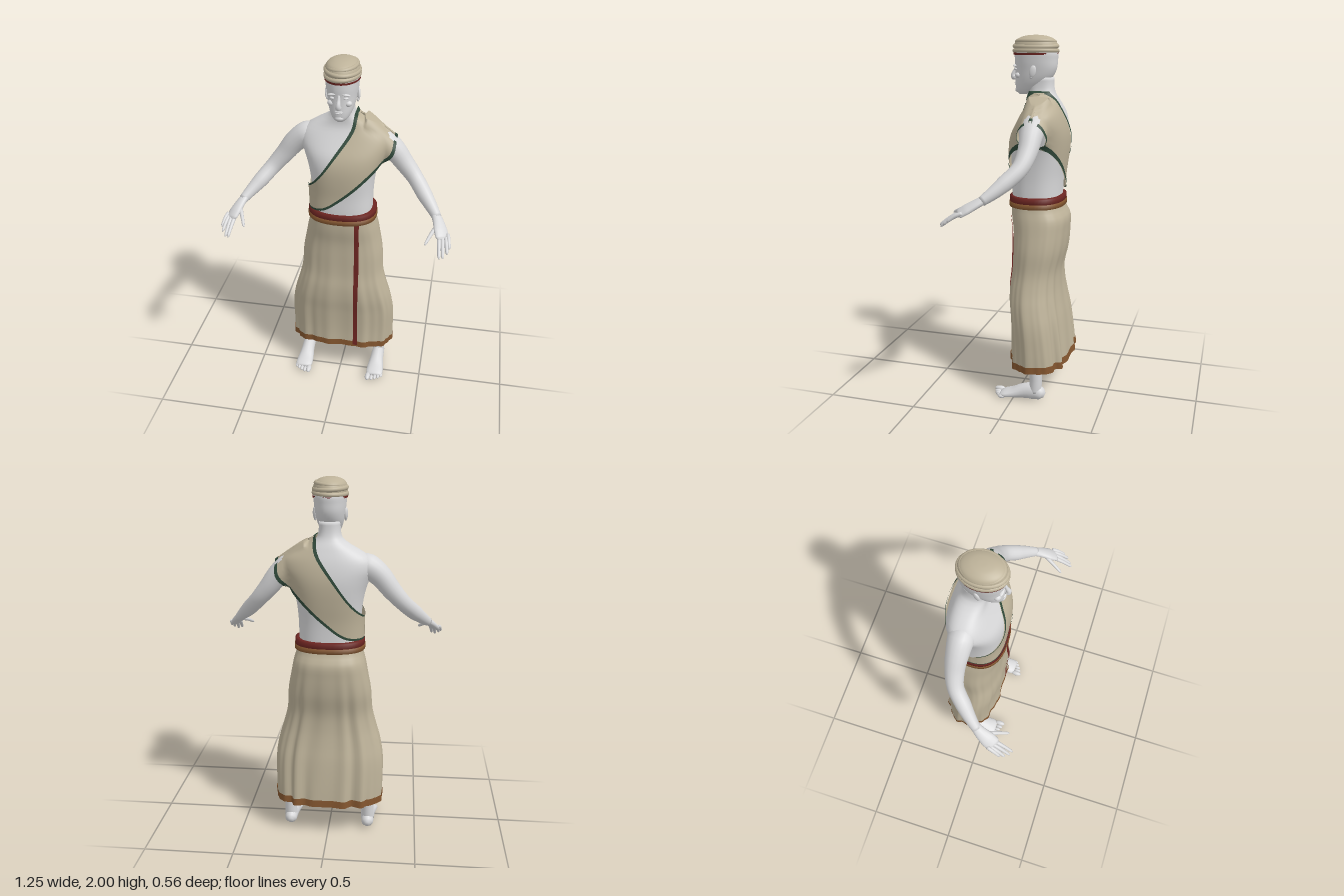
import * as THREE from 'three';

const mat = (name, color, side = THREE.FrontSide) => {
  const m = new THREE.MeshStandardMaterial({ color, side });
  m.name = name;
  return m;
};
const skin = mat('skin', 0xd8d8d9);
const cloth = mat('cloth', 0xbdb299, THREE.DoubleSide);
const green = mat('green trim', 0x30493a, THREE.DoubleSide);
const red = mat('dark red', 0x6e2622, THREE.DoubleSide);
const brown = mat('brown', 0x84562f, THREE.DoubleSide);

const V = (x, y, z) => new THREE.Vector3(x, y, z);
const TAU = Math.PI * 2;

function mesh(parent, name, geo, material) {
  const m = new THREE.Mesh(geo, material);
  m.name = name;
  parent.add(m);
  return m;
}

// Skin a list of point rows; closed rows wrap round, caps close the two ends
function loft(rows, closed = true, caps = true) {
  const n = rows[0].length, pos = [], idx = [];
  rows.forEach(r => r.forEach(p => pos.push(p.x, p.y, p.z)));
  for (let i = 0; i + 1 < rows.length; i++) {
    for (let j = 0; j < (closed ? n : n - 1); j++) {
      const k = (j + 1) % n, a = i * n + j, b = i * n + k, c = a + n, d = b + n;
      idx.push(a, c, b, b, c, d);
    }
  }
  if (closed && caps) {
    [0, rows.length - 1].forEach(i => {
      const mid = rows[i].reduce((s, p) => s.add(p), V(0, 0, 0)).divideScalar(n), m = pos.length / 3;
      pos.push(mid.x, mid.y, mid.z);
      for (let j = 0; j < n; j++) {
        const a = i * n + j, b = i * n + (j + 1) % n;
        i ? idx.push(a, m, b) : idx.push(a, b, m);
      }
    });
  }
  const g = new THREE.BufferGeometry();
  g.setAttribute('position', new THREE.Float32BufferAttribute(pos, 3));
  g.setIndex(idx);
  g.computeVertexNormals();
  return g;
}

// Smooth profile from rows of [y, half width, front z, back z]
function profile(rows) {
  const f = new THREE.CubicInterpolant(new Float32Array(rows.map(r => r[0])),
    new Float32Array(rows.flatMap(r => r.slice(1))), 3);
  return y => Array.from(f.evaluate(y));
}
function ovalPoint([rx, zf, zb], y, a, pw = 2.4, off = 0) {
  const q = t => Math.sign(t) * Math.abs(t) ** (2 / pw);
  return V((rx + off) * q(Math.cos(a)), y, (zf + zb) / 2 + ((zf - zb) / 2 + off) * q(Math.sin(a)));
}
function body(rows, steps, n = 40, pw = 2.4) {
  const f = profile(rows), y0 = rows[0][0], y1 = rows.at(-1)[0];
  return loft(Array.from({ length: steps + 1 }, (_, i) => {
    const y = y0 + (y1 - y0) * i / steps;
    return Array.from({ length: n }, (_, j) => ovalPoint(f(y), y, j / n * TAU, pw));
  }));
}

// Tapered limb through [x, y, z, half width, half thickness]
function limb(pts, ref = V(0, 1, 0), steps = 20, n = 14) {
  const curve = new THREE.CatmullRomCurve3(pts.map(p => V(p[0], p[1], p[2])));
  return loft(Array.from({ length: steps + 1 }, (_, i) => {
    const t = i / steps, s = t * (pts.length - 1), k = Math.min(Math.floor(s), pts.length - 2);
    const r = c => THREE.MathUtils.lerp(pts[k][c] ?? pts[k][3], pts[k + 1][c] ?? pts[k + 1][3], s - k);
    const T = curve.getTangent(t), B = ref.clone().addScaledVector(T, -ref.dot(T)).normalize();
    const N = T.clone().cross(B), p = curve.getPoint(t);
    return Array.from({ length: n }, (_, j) => p.clone()
      .addScaledVector(N, r(3) * Math.cos(j / n * TAU)).addScaledVector(B, r(4) * Math.sin(j / n * TAU)));
  }));
}
function blob(parent, name, x, y, z, rx, ry, rz) {
  const m = mesh(parent, name, new THREE.SphereGeometry(1, 16, 12), skin);
  m.position.set(x, y, z);
  m.scale.set(rx, ry, rz);
  return m;
}

const torsoRows = [[1, .165, .045, -.21], [1.14, .168, .058, -.21], [1.25, .17, .058, -.215], [1.35, .18, .064, -.228],
  [1.42, .195, .062, -.235], [1.48, .215, .047, -.236], [1.54, .235, .015, -.228], [1.59, .22, -.012, -.215],
  [1.63, .165, -.03, -.2], [1.66, .11, -.033, -.188], [1.69, .07, -.03, -.172], [1.73, .058, -.025, -.162], [1.78, .057, -.025, -.16]];
const skirtRows = [[.19, .302, .045, -.272], [.3, .305, .04, -.26], [.45, .303, .045, -.24], [.55, .285, .055, -.222],
  [.63, .262, .055, -.212], [.72, .24, .045, -.212], [.85, .23, .043, -.24], [.95, .212, .045, -.25],
  [1.03, .196, .057, -.25], [1.07, .184, .06, -.228], [1.11, .178, .06, -.215]];
const torsoAt = profile(torsoRows), skirtAt = profile(skirtRows);

// Skirt surface: folds deepen towards the hem
function skirtPoint(a, y, off = 0) {
  const low = THREE.MathUtils.clamp((1.1 - y) / .9, 0, 1), back = Math.max(0, -Math.sin(a));
  const fold = low * (.005 * Math.sin(a * 11 + 1) + back * .009 * Math.sin(a * 17 + y * 2)) + .003 * low * Math.sin(a * 23);
  const lift = .018 * Math.max(0, Math.sin(a)) ** 4 * low ** 3;
  return ovalPoint(skirtAt(y), y + lift, a, 2.5, off + fold);
}
function skirtBand(y0, y1, off, steps, n = 120) {
  return loft(Array.from({ length: steps + 1 }, (_, i) =>
    Array.from({ length: n }, (_, j) => skirtPoint(j / n * TAU, y0 + (y1 - y0) * i / steps, off))), true, false);
}

// Shoulder sash: a band between two edge curves, laid over chest or back
const edge = pts => new THREE.CatmullRomCurve3(pts.map(p => V(p[0], p[1], 0)));
const innerEdge = edge([[.07, 1.7], [.055, 1.62], [-.03, 1.49], [-.12, 1.36], [-.19, 1.28]]);
const outerEdge = edge([[.287, 1.57], [.275, 1.485], [.17, 1.385], [.01, 1.24], [-.09, 1.17], [-.19, 1.15]]);
function sashPoint(u, v, dir, off) {
  const p = innerEdge.getPoint(u).lerp(outerEdge.getPoint(u), v);
  p.y += .012 * Math.sin(Math.PI * v) * (1 - u) + off * .5 * (1 - u);
  const [rx, zf, zb] = torsoAt(p.y), mid = (zf + zb) / 2, t = Math.min(1, Math.abs(p.x) / (rx + .02));
  let z = mid + dir * ((zf - zb) / 2 + off) * (1 - t ** 2.4) ** (1 / 2.4);
  if (p.x > .12) { // drape over the upper arm
    const h = (p.y - 1.54 + (p.x - .2) * .9) * .75;
    const arm = -.11 + dir * (Math.sqrt(Math.max(0, .072 ** 2 - h * h)) + off * .5);
    z = dir > 0 ? Math.max(z, arm) : Math.min(z, arm);
  }
  p.z = u === 0 ? -.11 : z;
  return p;
}
function sashPatch(v0, v1, off, cols) {
  const us = Array.from({ length: 37 }, (_, i) => (1 - Math.cos(Math.PI * i / 36)) / 2);
  const row = (u, dir) => Array.from({ length: cols + 1 }, (_, j) => sashPoint(u, v0 + (v1 - v0) * j / cols, dir, off));
  return loft([...us.slice().reverse().map(u => row(u, 1)), ...us.slice(1).map(u => row(u, -1))], false);
}

function addHead(g) {
  mesh(g, 'head', body([[1.688, .018, .03, -.01], [1.7, .036, .043, -.045], [1.73, .056, .05, -.1], [1.77, .07, .05, -.145],
    [1.82, .079, .05, -.173], [1.87, .085, .054, -.18], [1.92, .086, .05, -.178], [1.95, .07, .03, -.15]], 26, 36, 2.2), skin);
  mesh(g, 'nose', limb([[0, 1.84, .046, .007], [0, 1.815, .056, .009], [0, 1.79, .066, .013], [0, 1.778, .062, .016], [0, 1.772, .05, .008]], V(0, 0, 1)), skin);
  blob(g, 'upperLip', 0, 1.751, .048, .022, .005, .009);
  blob(g, 'lowerLip', 0, 1.741, .046, .019, .006, .009);
  blob(g, 'chin', 0, 1.712, .038, .024, .015, .016);
  for (const s of [-1, 1]) {
    blob(g, 'brow', s * .034, 1.842, .043, .026, .006, .011).rotation.z = -s * .12;
    blob(g, 'eye', s * .034, 1.822, .038, .014, .007, .013);
    blob(g, 'cheek', s * .044, 1.79, .025, .02, .016, .018);
    const ear = blob(g, 'ear', s * .083, 1.812, -.065, .009, .033, .018);
    ear.rotation.set(-.2, s * .3, 0);
    blob(g, 'earLobe', s * .081, 1.785, -.056, .007, .012, .01);
  }
}

function addCap(g) {
  const cap = new THREE.Group();
  cap.name = 'wrappedCap';
  cap.position.set(0, 0, -.06);
  cap.scale.z = 1.32;
  // Stacked rolls under a domed crown
  const lathe = pts => new THREE.LatheGeometry(new THREE.SplineCurve(pts.map(p => new THREE.Vector2(...p))).getPoints(40), 40);
  mesh(cap, 'capCrown', lathe([[.085, 1.905], [.09, 1.93], [.088, 1.955], [.076, 1.978], [.05, 1.993], [.022, 1.999], [0, 2]]), cloth);
  [[.084, 1.918, .013, .03], [.083, 1.942, .013, -.05], [.074, 1.965, .012, .06]].forEach(([r, y, t, tilt]) => {
    const roll = mesh(cap, 'capRoll', new THREE.TorusGeometry(r, t, 12, 40), cloth);
    roll.position.y = y;
    roll.rotation.set(Math.PI / 2, tilt, 0);
  });
  const rim = mesh(cap, 'capRim', new THREE.CylinderGeometry(.093, .092, .011, 40, 1, true), red);
  rim.position.y = 1.902;
  g.add(cap);
}

function addArm(g, s) {
  const M = pts => pts.map(([x, ...r]) => [s * x, ...r]);
  const side = s > 0 ? 'left' : 'right';
  mesh(g, side + 'Arm', limb(M([[.13, 1.55, -.11, .055], [.2, 1.545, -.11, .07], [.265, 1.5, -.11, .061], [.33, 1.42, -.107, .052],
    [.395, 1.345, -.085, .044], [.455, 1.28, -.025, .042], [.5, 1.235, .025, .033], [.535, 1.2, .07, .025]]), V(0, 0, 1), 32, 18), skin);
  const hand = new THREE.Group();
  hand.name = side + 'Hand';
  const up = V(s * .45, .8, .35);
  mesh(hand, 'palm', limb(M([[.525, 1.21, .058, .025, .022], [.545, 1.188, .095, .033, .02], [.562, 1.162, .14, .042, .019],
    [.573, 1.142, .172, .04, .014], [.577, 1.135, .182, .028, .006]]), up), skin);
  [[[.602, 1.146, .155], [.617, 1.105, .222]], [[.592, 1.138, .17], [.607, 1.088, .247]],
    [[.575, 1.138, .175], [.587, 1.072, .268]], [[.556, 1.142, .172], [.568, 1.076, .278]],
    [[.54, 1.175, .115], [.488, 1.125, .235]]].forEach(([a, b], i) => {
    const at = (t, r, dy = 0) => [...a.map((c, k) => c + (b[k] - c) * t + (k === 1 ? dy : 0)), r];
    mesh(hand, i < 4 ? 'finger' : 'thumb', limb(M([at(-.1, .01), at(.3, .011, .006), at(.6, .0095, .006), at(.9, .008, .002), at(1, .003)]), up, 12, 10), skin);
  });
  g.add(hand);
}

function addLeg(g, s) {
  const M = pts => pts.map(([x, ...r]) => [s * x, ...r]);
  const side = s > 0 ? 'left' : 'right';
  mesh(g, side + 'Leg', limb(M([[.1, 1.0, -.085, .07], [.14, .75, -.085, .065], [.175, .55, -.085, .055], [.2, .38, -.11, .055],
    [.22, .22, -.122, .04], [.226, .12, -.128, .034], [.226, .05, -.125, .036]]), V(0, 0, 1), 28, 18), skin);
  const foot = new THREE.Group();
  foot.name = side + 'Foot';
  mesh(foot, 'foot', limb(M([[.225, .03, -.178, .012, .014], [.225, .038, -.16, .034, .036], [.225, .05, -.11, .038, .05],
    [.224, .042, -.05, .041, .041], [.224, .028, .005, .049, .027], [.225, .02, .05, .052, .019], [.225, .016, .075, .042, .01]])), skin);
  // Toes shorten towards the outside
  [[.187, .1, .016], [.211, .1, .011], [.231, .092, .0105], [.25, .08, .01], [.267, .066, .01]].forEach(([x, z, r]) =>
    blob(foot, 'toe', s * x, r + .001, z - r * .4, r, r, r * 2));
  g.add(foot);
}

export function createModel() {
  const g = new THREE.Group();
  g.name = 'robedMan';
  mesh(g, 'torso', body(torsoRows, 44, 48), skin);
  addHead(g);
  addCap(g);
  for (const s of [-1, 1]) {
    addArm(g, s);
    addLeg(g, s);
  }

  // Wrapped skirt with hem, inner facing and front stripe
  mesh(g, 'skirt', skirtBand(.19, 1.1, 0, 44), cloth);
  mesh(g, 'hem', skirtBand(.188, .228, .004, 3), brown);
  mesh(g, 'hemFacing', skirtBand(.19, .235, -.004, 3), red);
  const angleAt = (x, y) => Math.acos((x / skirtAt(y)[0]) ** 1.25);
  mesh(g, 'frontStripe', loft(Array.from({ length: 41 }, (_, i) => {
    const y = .2 + .89 * i / 40;
    return [.108, .1, .091, .083].map(x => skirtPoint(angleAt(x, y), y, .006));
  }), false), red);

  // Belt: a red roll above a brown band
  const belt = (y0, y1, out) => loft([[y0, 0], [y0 + .005, out], [y1 - .005, out], [y1, 0]].map(([y, o]) =>
    Array.from({ length: 56 }, (_, j) => ovalPoint([.178, .058, -.215], y, j / 56 * TAU, 2.4, o))));
  mesh(g, 'beltBand', belt(1.083, 1.117, .016), brown);
  mesh(g, 'beltRoll', belt(1.11, 1.147, .013), red);

  // Sash and its trims
  mesh(g, 'sash', sashPatch(0, 1, .012, 20), cloth);
  mesh(g, 'sashInnerTrim', sashPatch(-.01, .065, .017, 3), green);
  mesh(g, 'sashOuterTrim', sashPatch(.94, 1.01, .017, 3), green);
  return g;
}
